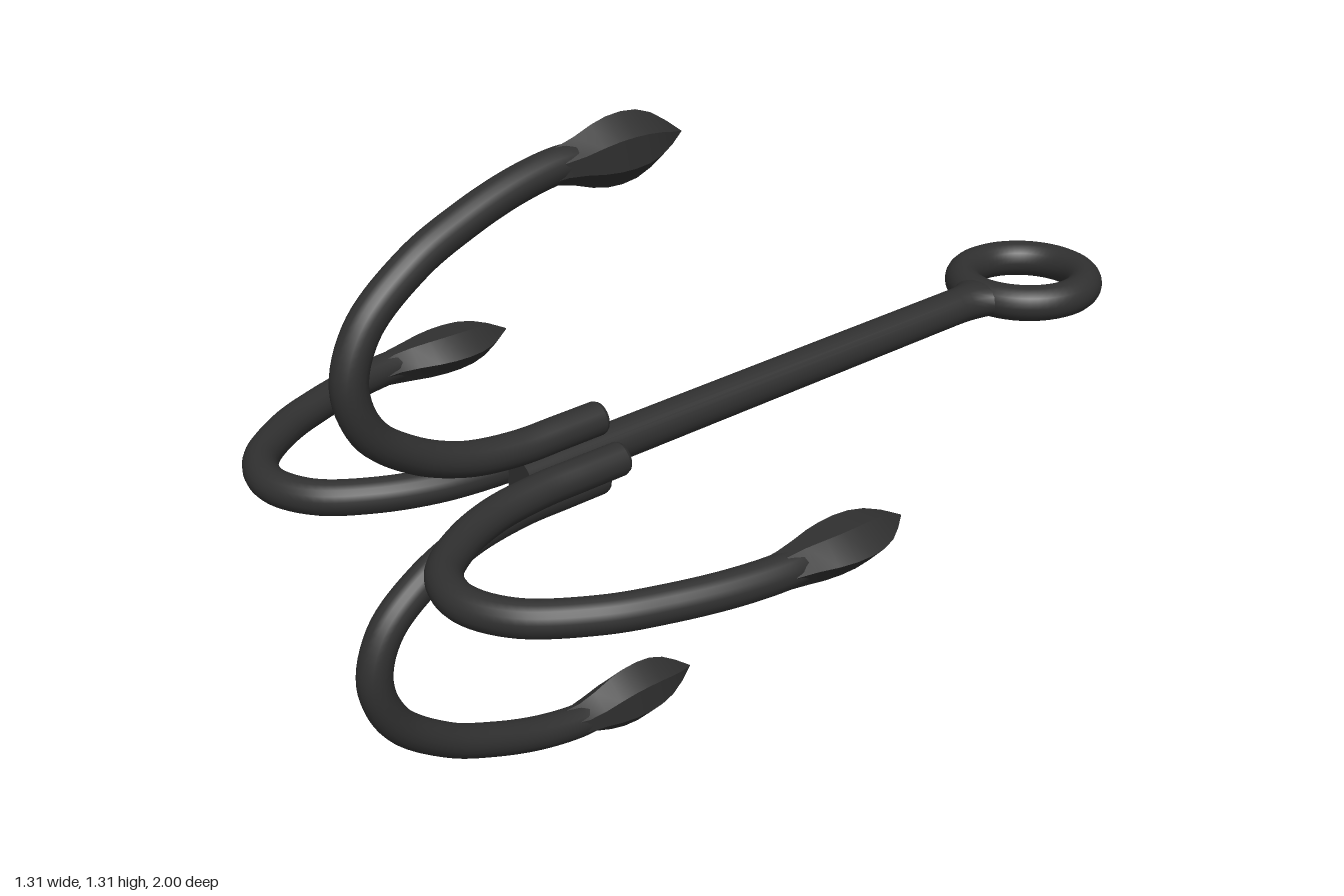
import * as THREE from 'three';

// Skin a surface over rings of points that advance towards -z.
// sharp: every side strip gets its own vertices, so the long edges stay crisp.
function loft(rings, sharp) {
  const n = rings[0].length, pos = [], idx = [];
  const strip = (columns, count) => {
    const base = pos.length / 3, w = columns.length;
    for (const ring of rings) for (const j of columns) pos.push(...ring[j]);
    for (let i = 0; i < rings.length - 1; i++) {
      for (let j = 0; j < count; j++) {
        const k = (j + 1) % w;
        const a = base + i * w + j, b = base + i * w + k;
        idx.push(a, a + w, b, b, a + w, b + w);
      }
    }
  };
  if (sharp) for (let j = 0; j < n; j++) strip([j, (j + 1) % n], 1);
  else strip([...Array(n).keys()], n);
  const geo = new THREE.BufferGeometry();
  geo.setAttribute('position', new THREE.Float32BufferAttribute(pos, 3));
  geo.setIndex(idx);
  geo.computeVertexNormals();
  return geo;
}

const ellipse = (z, rx, ry) => Array.from({ length: 24 }, (_, i) => {
  const t = (i / 24) * Math.PI * 2;
  return [rx * Math.cos(t), ry * Math.sin(t), z];
});

export function createModel() {
  const model = new THREE.Group();
  model.name = 'grapplingHook';
  const iron = new THREE.MeshStandardMaterial({ color: 0x303030 });
  iron.name = 'dark iron';

  const body = new THREE.Group();
  body.name = 'body';
  body.position.y = 0.657;
  model.add(body);
  const add = (parent, name, geo) => {
    const mesh = new THREE.Mesh(geo, iron);
    mesh.name = name;
    parent.add(mesh);
    return mesh;
  };

  // Shaft, flaring sideways into the ring
  add(body, 'shaft', loft([
    [0.62, 0.04, 0.04], [-0.58, 0.04, 0.04], [-0.61, 0.042, 0.04], [-0.635, 0.049, 0.04],
    [-0.66, 0.064, 0.039], [-0.685, 0.085, 0.036], [-0.705, 0.085, 0.025],
  ].map((s) => ellipse(...s)), false));
  add(body, 'shaftEnd', new THREE.CircleGeometry(0.04, 24)).position.z = 0.62;

  // Rope ring, lying flat
  const ring = new THREE.TorusGeometry(0.138, 0.04, 20, 56);
  ring.rotateX(Math.PI / 2);
  add(body, 'ring', ring).position.z = -0.822;

  // Hook wire, drawn as distance from the axis and z
  const path = new THREE.CatmullRomCurve3([
    [0.063, 0.43], [0.063, 0.52], [0.064, 0.62], [0.083, 0.74], [0.13, 0.85], [0.2, 0.935],
    [0.295, 0.966], [0.395, 0.93], [0.485, 0.82], [0.535, 0.71], [0.57, 0.6], [0.587, 0.5], [0.586, 0.44],
  ].map(([r, z]) => new THREE.Vector3(r, 0, z)));
  const wire = new THREE.TubeGeometry(path, 80, 0.034, 18, false);

  // Bevelled end of the wire
  const cap = new THREE.LatheGeometry([
    new THREE.Vector2(0.034, 0), new THREE.Vector2(0.031, 0.007),
    new THREE.Vector2(0.024, 0.011), new THREE.Vector2(0, 0.012),
  ], 18);
  cap.rotateX(-Math.PI / 2);
  cap.translate(0.063, 0, 0.43);

  // Barb: six-sided spearhead; z, half width, half thickness, half flat
  const barb = loft([
    [0.54, 0.03, 0.026, 0.012], [0.5, 0.036, 0.033, 0.014], [0.46, 0.046, 0.037, 0.018],
    [0.42, 0.06, 0.04, 0.025], [0.385, 0.068, 0.041, 0.029], [0.35, 0.07, 0.041, 0.03],
    [0.315, 0.066, 0.039, 0.028], [0.28, 0.053, 0.033, 0.022], [0.245, 0.031, 0.021, 0.012],
    [0.205, 0.001, 0.001, 0.0005],
  ].map(([z, a, b, f]) => {
    const c = z > 0.5 ? 0.579 : 0.585;
    return [[a, 0], [f, b], [-f, b], [-a, 0], [-f, -b], [f, -b]].map(([x, y]) => [c + x, y, z]);
  }), true);

  // Four hooks around the shaft
  ['left', 'top', 'right', 'bottom'].forEach((side, i) => {
    const hook = new THREE.Group();
    hook.name = side + 'Hook';
    hook.rotation.z = (i * Math.PI) / 2;
    add(hook, 'wire', wire);
    add(hook, 'wireEnd', cap);
    add(hook, 'barb', barb);
    body.add(hook);
  });
  return model;
}
